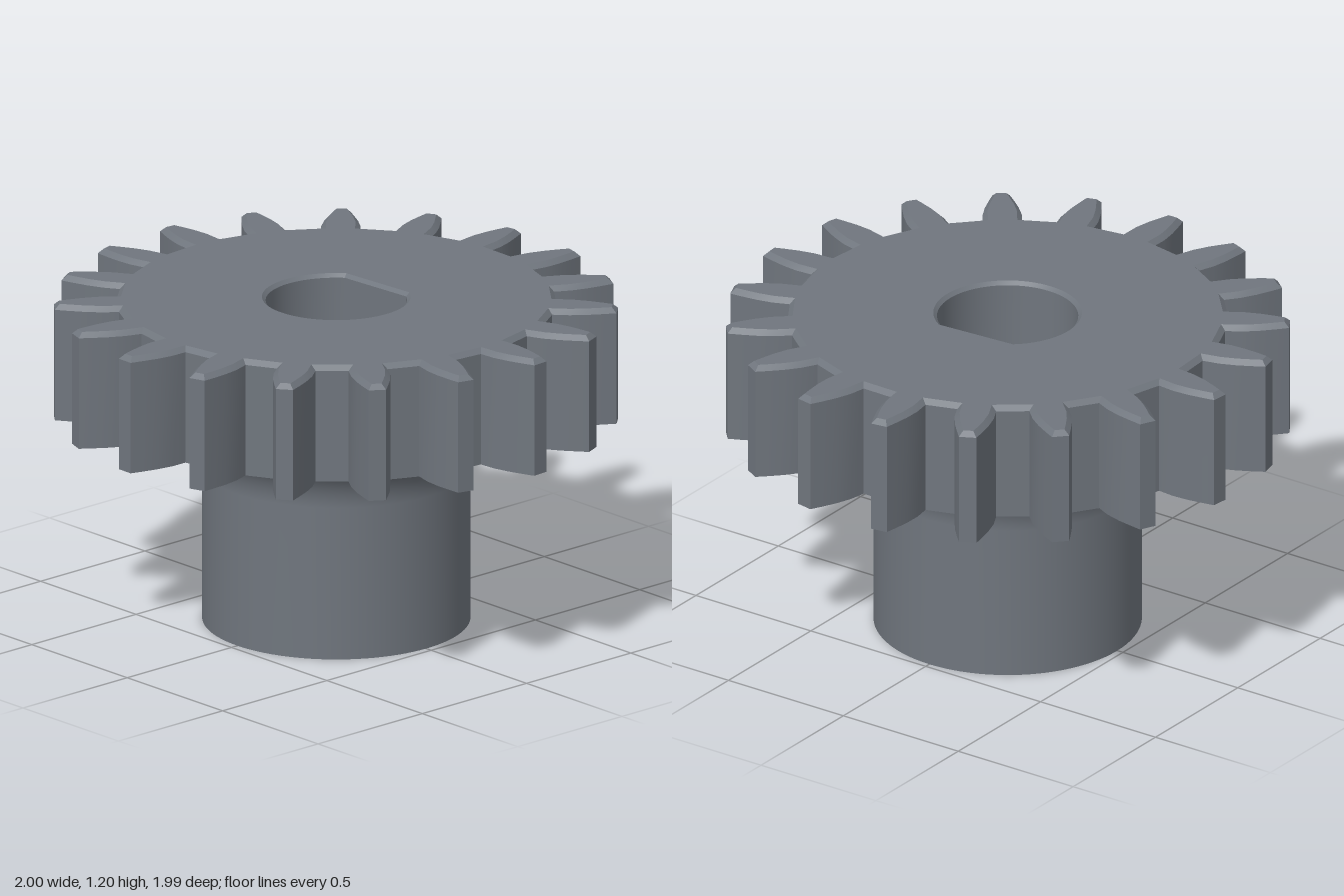
import * as THREE from 'three';
import { toCreasedNormals } from 'three/addons/utils/BufferGeometryUtils.js';

const TEETH = 19, TURN = THREE.MathUtils.degToRad(3.8);
const TOP = 1.195, BASE = 0.765, CHAMFER = 0.018;
const HUB_R = 0.475, BORE_R = 0.407, FILLET = 0.2;

const steel = new THREE.MeshStandardMaterial({ color: 0x70767e });
steel.name = 'steel grey';

const polar = (r, a) => new THREE.Vector2(r * Math.cos(a), r * Math.sin(a));

// Counter-clockwise gear outline; each flank is [radius, half width]
function gearLoop() {
  const flank = [[0.778, 0.07], [0.84, 0.07], [0.9, 0.06], [0.955, 0.045], [1.0, 0.031]];
  const loop = [];
  for (let k = 0; k < TEETH; k++) {
    const a = TURN + (k * Math.PI * 2) / TEETH;
    for (const [r, w] of flank) loop.push(polar(r, a - w / r));
    for (const [r, w] of [...flank].reverse()) loop.push(polar(r, a + w / r));
  }
  return loop;
}

// Clockwise D-shaped hole with its flat at the back
function holeLoop() {
  const r = 0.25, half = Math.acos(0.2 / r), mid = Math.PI / 2 + TURN, n = 56;
  const loop = [];
  for (let i = 0; i <= n; i++) {
    loop.push(polar(r, mid - half - (i / n) * (Math.PI * 2 - 2 * half)));
  }
  return loop;
}

// Mitred offset toward the material, which lies to the left of the loop
function inset(loop, d) {
  const n = loop.length;
  const normal = (p, q) => new THREE.Vector2(p.y - q.y, q.x - p.x).normalize();
  return loop.map((p, i) => {
    const n1 = normal(loop[(i + n - 1) % n], p), n2 = normal(p, loop[(i + 1) % n]);
    const m = n1.clone().add(n2);
    return p.clone().addScaledVector(m, d / (1 + n1.dot(n2)));
  });
}

// Wall joining one loop at y0 to a matching loop at y1
function wall(a, y0, b, y1) {
  const pos = [];
  const put = (p, y) => pos.push(p.x, y, -p.y);
  a.forEach((p, i) => {
    const j = (i + 1) % a.length;
    put(p, y0); put(a[j], y0); put(b[j], y1);
    put(p, y0); put(b[j], y1); put(b[i], y1);
  });
  const g = new THREE.BufferGeometry();
  g.setAttribute('position', new THREE.Float32BufferAttribute(pos, 3));
  return toCreasedNormals(g, 0.22);
}

// Flat face with a hole, looking up or down
function face(outer, hole, y, up) {
  const shape = new THREE.Shape(outer);
  shape.holes.push(new THREE.Path(hole));
  const g = new THREE.ShapeGeometry(shape);
  if (!up) {
    const index = g.index.array;
    for (let i = 0; i < index.length; i += 3) {
      [index[i], index[i + 1]] = [index[i + 1], index[i]];
    }
    g.computeVertexNormals();
  }
  return g.rotateX(-Math.PI / 2).translate(0, y, 0);
}

const circle = (r, n = 96) =>
  Array.from({ length: n }, (_, i) => polar(r, (i / n) * Math.PI * 2));

export function createModel() {
  const model = new THREE.Group();
  model.name = 'spurGear';
  const add = (name, geometry) => {
    const mesh = new THREE.Mesh(geometry, steel);
    mesh.name = name;
    model.add(mesh);
  };

  // Toothed wheel, chamfered along its upper edges
  const rim = gearLoop(), hole = holeLoop();
  const rimTop = inset(rim, CHAMFER), holeTop = inset(hole, 0.013);
  add('teeth', wall(rim, BASE, rim, TOP - CHAMFER));
  add('teethChamfer', wall(rim, TOP - CHAMFER, rimTop, TOP));
  add('wheelTop', face(rimTop, holeTop, TOP, true));
  add('wheelUnderside', face(rim, circle(HUB_R + FILLET), BASE, false));

  // D-shaped shaft hole
  add('shaftHole', wall(hole, BASE, hole, TOP - 0.013));
  add('shaftHoleChamfer', wall(hole, TOP - 0.013, holeTop, TOP));

  // Hollow hub: outer wall flaring into the wheel
  const profile = [new THREE.Vector2(HUB_R, 0)];
  for (let i = 0; i <= 12; i++) {
    const a = (i / 12) * Math.PI / 2;
    profile.push(new THREE.Vector2(
      HUB_R + FILLET * (1 - Math.cos(a)), BASE - FILLET * (1 - Math.sin(a))));
  }
  add('hub', new THREE.LatheGeometry(profile, 96));
  add('hubEnd', face(circle(HUB_R), circle(BORE_R), 0, false));

  // Wide bore inside the hub, ending under the wheel
  add('hubBore', new THREE.LatheGeometry(
    [new THREE.Vector2(BORE_R, BASE), new THREE.Vector2(BORE_R, 0)], 96));
  add('hubBoreEnd', face(circle(BORE_R), hole, BASE, false));

  // Centre the uneven tooth ring
  const box = new THREE.Box3().setFromObject(model);
  const c = box.getCenter(new THREE.Vector3());
  model.children.forEach((m) => m.position.set(-c.x, 0, -c.z));
  return model;
}
